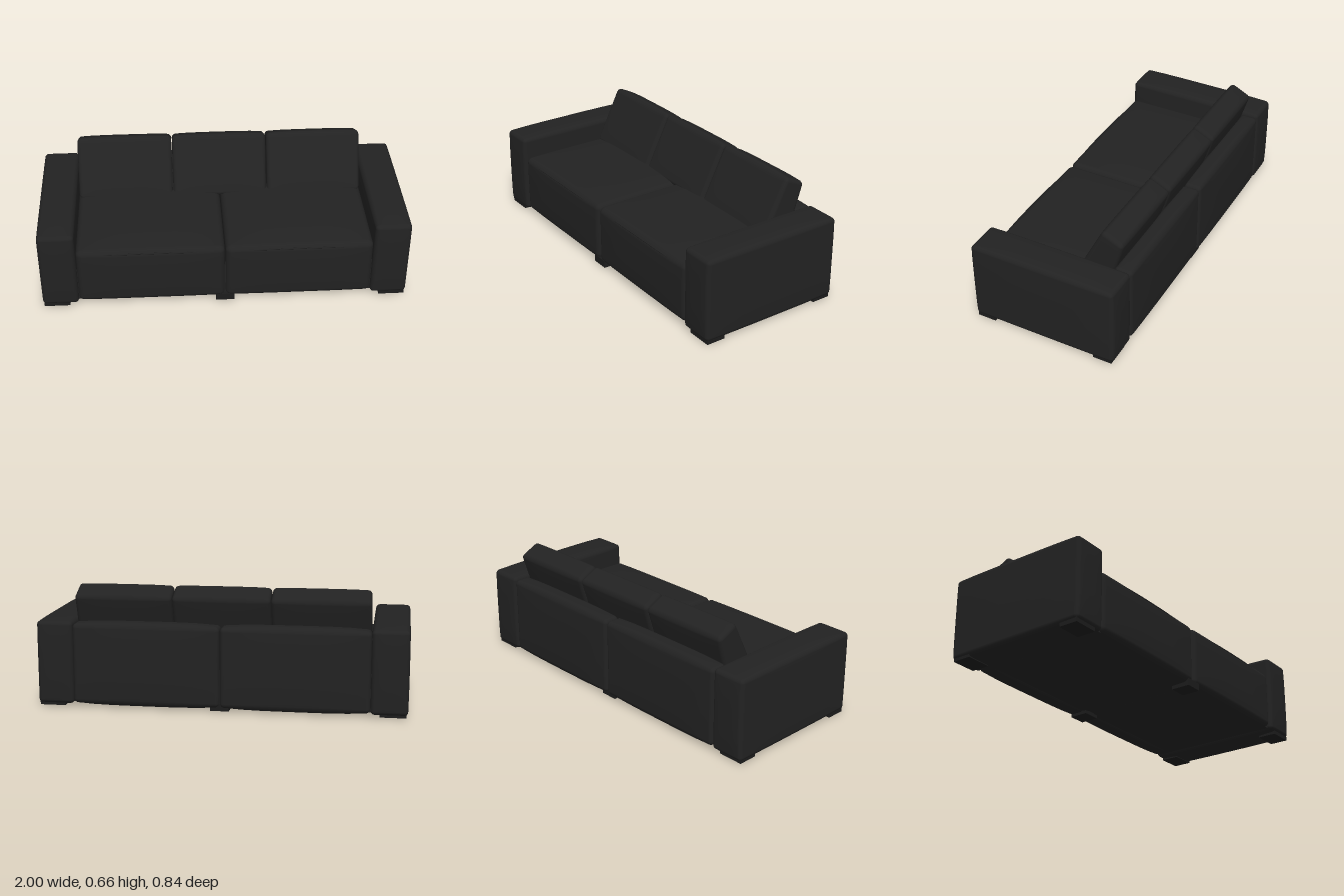
import * as THREE from 'three';
import { mergeVertices } from 'three/addons/utils/BufferGeometryUtils.js';

const lerp = THREE.MathUtils.lerp;

// Rounded box between two corners; bulge = [x, y, z] swells the faces.
// Optional map(p, u, v, w) moves the finished points.
function softBox(min, max, radius, bulge = [0, 0, 0], map) {
  const N = 16, edge = 4;
  const a = new THREE.Vector3(...min), b = new THREE.Vector3(...max);
  const half = b.clone().sub(a).multiplyScalar(0.5), mid = a.clone().add(b).multiplyScalar(0.5);
  let geo = new THREE.BoxGeometry(2, 2, 2, N, N, N);
  geo.deleteAttribute('uv');
  geo.deleteAttribute('normal');
  geo = mergeVertices(geo);
  const pos = geo.attributes.position;
  const h = half.toArray(), c = mid.toArray();
  // Crowd the grid lines into the rounded edges
  const spread = (t, size) => {
    const i = Math.round((t + 1) * N / 2), k = Math.min(i, N - i), s = i < N / 2 ? -1 : 1;
    return k < edge
      ? s * (size - radius + radius * Math.tan((1 - k / edge) * Math.PI / 4))
      : s * (size - radius) * (1 - (k - edge) / (N / 2 - edge));
  };
  for (let i = 0; i < pos.count; i++) {
    const raw = [pos.getX(i), pos.getY(i), pos.getZ(i)];
    const p = raw.map((t, k) => spread(t, h[k]));
    const inner = p.map((t, k) => THREE.MathUtils.clamp(t, radius - h[k], h[k] - radius));
    const d = new THREE.Vector3(...p.map((t, k) => t - inner[k])).setLength(radius).toArray();
    const q = inner.map((t, k) => t + d[k]);
    const n = q.map((t, k) => t / h[k]);
    const out = q.map((t, k) => {
      const u = n[(k + 1) % 3], v = n[(k + 2) % 3];
      return t + c[k] + n[k] * bulge[k] * (1 - u ** 4) * (1 - v ** 4);
    });
    const point = new THREE.Vector3(...out);
    if (map) map(point);
    pos.setXYZ(i, point.x, point.y, point.z);
  }
  geo.computeVertexNormals();
  return geo;
}

export function createModel() {
  const sofa = new THREE.Group();
  sofa.name = 'sofa';
  const fabric = new THREE.MeshStandardMaterial({ color: 0x222222 });
  fabric.name = 'black fabric';
  const footMat = new THREE.MeshStandardMaterial({ color: 0x1c1c1c });
  footMat.name = 'dark feet';

  const add = (name, geo, mat = fabric) => {
    const mesh = new THREE.Mesh(geo, mat);
    mesh.name = name;
    sofa.add(mesh);
    return mesh;
  };
  // Box spanning x0..x1 on the chosen side
  const sided = (s, x0, x1) => (s > 0 ? [x0, x1] : [-x1, -x0]);

  // Underside that closes the gaps between the modules
  const base = add('base', new THREE.BoxGeometry(1.7, 0.2, 0.76));
  base.position.set(0, 0.126, 0);

  for (const s of [1, -1]) {
    const side = s > 0 ? 'left' : 'right';

    // Arm
    const [a0, a1] = sided(s, 0.8, 0.995);
    add(side + 'Arm', softBox([a0, 0.018, -0.408], [a1, 0.468, 0.408], 0.02, [0.004, 0.012, 0.009]));

    // Seat module with a domed top
    const [x0, x1] = sided(s, 0.002, 0.798);
    add(side + 'Seat', softBox([x0, 0.025, -0.33], [x1, 0.358, 0.402], 0.03, [0, 0.018, 0.01]));

    // Piping along the front edge of the seat
    const path = new THREE.CatmullRomCurve3([
      [0.03, 0.334, 0.393], [0.2, 0.34, 0.401], [0.4, 0.342, 0.403], [0.6, 0.34, 0.401], [0.77, 0.334, 0.393],
    ].map(([x, y, z]) => new THREE.Vector3(s * x, y, z)));
    add(side + 'SeatPiping', new THREE.TubeGeometry(path, 24, 0.004, 8));

    // Back panel
    add(side + 'BackPanel', softBox([x0, 0.025, -0.411], [x1, 0.458, -0.31], 0.022, [0, 0.013, 0.009]));
  }

  // Three leaning back cushions, wedge shaped in side section
  const lean = (p) => {
    const v = p.y, w = p.z; // 0..1 up, 0..1 back to front, scaled below
    const t = v / 0.3, f = w / 0.15;
    const backZ = lerp(-0.283, -0.362, t), frontZ = lerp(-0.092, -0.246, t);
    const backY = lerp(0.35, 0.603, t), frontY = lerp(0.35, 0.66, t);
    p.z = lerp(backZ, frontZ, f);
    p.y = lerp(backY, frontY, f);
  };
  ['rightBackCushion', 'middleBackCushion', 'leftBackCushion'].forEach((name, i) => {
    const x = (i - 1) * 0.53;
    add(name, softBox([x - 0.263, 0, 0], [x + 0.263, 0.3, 0.15], 0.022, [0, 0.008, 0.006], lean));
  });

  // Low block feet: corners and middle, front and back
  for (const z of [0.348, -0.345]) {
    for (const [x, w] of [[-0.918, 0.14], [0, 0.1], [0.918, 0.14]]) {
      const foot = add('foot', new THREE.BoxGeometry(w, 0.04, 0.105), footMat);
      foot.position.set(x, z > 0 ? 0.02 : 0.025, z);
    }
  }
  return sofa;
}
